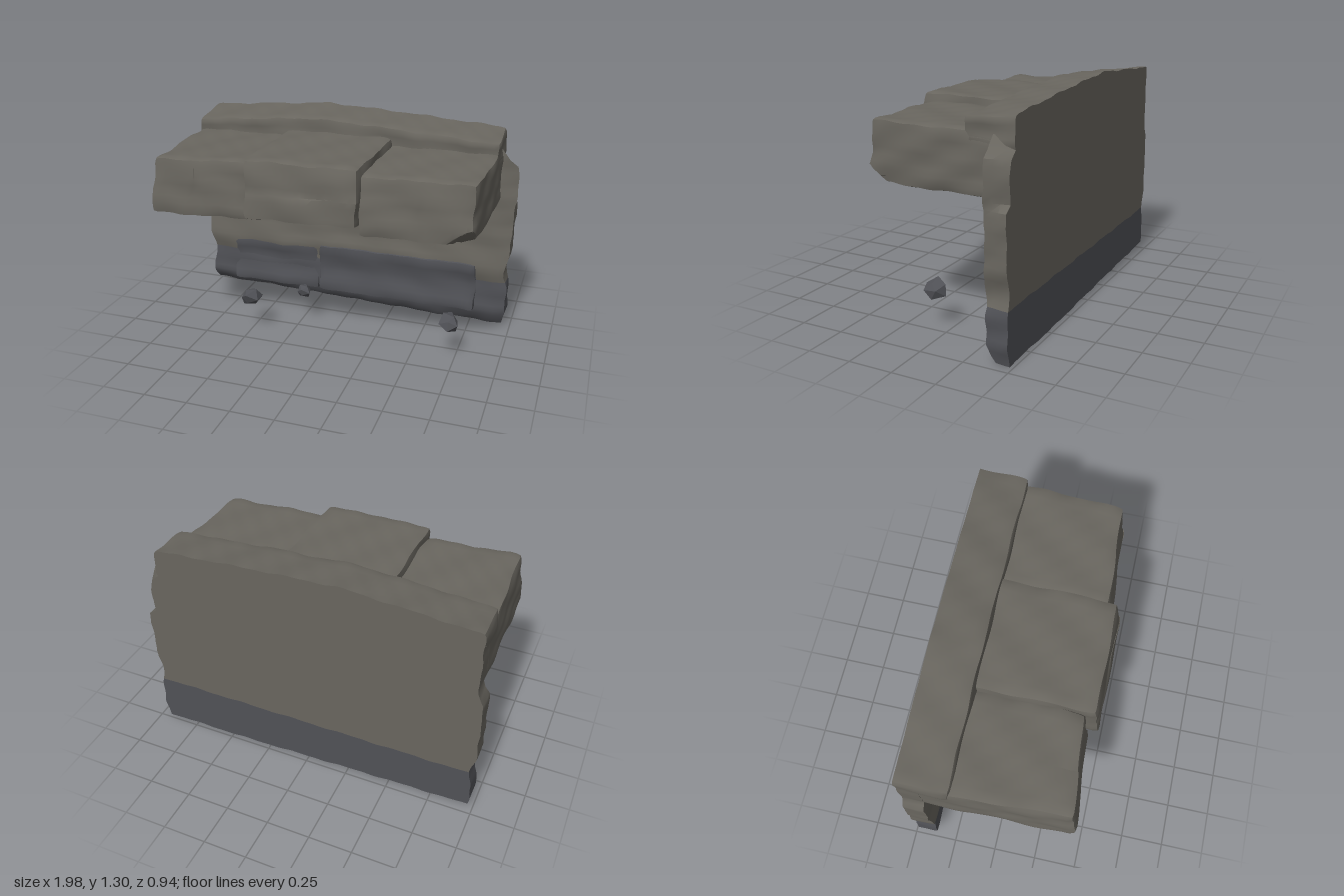
import * as THREE from 'three';
import { toCreasedNormals, mergeVertices } from 'three/addons/utils/BufferGeometryUtils.js';

const STONE = new THREE.MeshStandardMaterial({ color: 0x69665f });
const DARK = new THREE.MeshStandardMaterial({ color: 0x505156 });
const BACK = -0.48;
const lerp = THREE.MathUtils.lerp;
const clamp = THREE.MathUtils.clamp;

// Straight-line interpolation through [input, output] pairs
function curve(points) {
  return (t) => {
    for (let i = 1; i < points.length; i++) {
      const [a, va] = points[i - 1], [b, vb] = points[i];
      if (t <= b) return lerp(va, vb, clamp((t - a) / (b - a), 0, 1));
    }
    return points[points.length - 1][1];
  };
}

// Gentle weathering with horizontal strata, varying smoothly over position
function weather(v, amount) {
  const { x, y, z } = v;
  const layer = Math.sin(y * 52 + 2 * Math.sin(x * 4 + z * 5));
  v.x += amount * (0.6 * Math.sin(y * 31 + z * 17) + 0.4 * layer);
  v.y += amount * (0.6 * Math.sin(x * 19 + z * 13) + 0.4 * Math.sin(x * 41 - z * 33));
  v.z += amount * (0.6 * Math.sin(x * 15 + y * 23) + 0.4 * layer);
}

// Worn stone block: subdivided box, softened edges, then a shaping rule
function stone(name, material, [x0, x1], [y0, y1], [z0, z1], shape, { round = 0.025, wear = 0.006, step = 0.035 } = {}) {
  const w = x1 - x0, h = y1 - y0, d = z1 - z0;
  const n = (s) => Math.max(2, Math.round(s / step));
  const geo = new THREE.BoxGeometry(w, h, d, n(w), n(h), n(d));
  geo.translate((x0 + x1) / 2, (y0 + y1) / 2, (z0 + z1) / 2);
  const pos = geo.attributes.position;
  const v = new THREE.Vector3(), core = new THREE.Vector3();
  for (let i = 0; i < pos.count; i++) {
    v.fromBufferAttribute(pos, i);
    const onBack = z0 === BACK && v.z < BACK + 1e-4;
    if (round > 0) {
      core.set(clamp(v.x, x0 + round, x1 - round), clamp(v.y, y0 + round, y1 - round),
        clamp(v.z, z0 === BACK ? z0 : z0 + round, z1 - round));
      v.sub(core);
      if (v.length() > round) v.setLength(round);
      v.add(core);
    }
    if (shape) shape(v);
    weather(v, wear);
    if (onBack) v.z = BACK;
    pos.setXYZ(i, v.x, v.y, v.z);
  }
  const mesh = new THREE.Mesh(toCreasedNormals(geo, 0.7), material);
  mesh.name = name;
  return mesh;
}

// Loose faceted rock
function rock(x, y, z, sx, sy, sz, seed) {
  let geo = new THREE.IcosahedronGeometry(1, 0);
  geo.deleteAttribute('normal');
  geo.deleteAttribute('uv');
  geo = mergeVertices(geo, 1e-3);
  const pos = geo.attributes.position;
  for (let i = 0; i < pos.count; i++) {
    const k = 0.95 + 0.2 * Math.sin(i * 2.7 + seed * 5.1);
    pos.setXYZ(i, pos.getX(i) * k * sx, pos.getY(i) * k * sy, pos.getZ(i) * k * sz);
  }
  geo = geo.toNonIndexed();
  geo.computeVertexNormals();
  const mesh = new THREE.Mesh(geo, DARK);
  mesh.name = 'looseRock' + seed;
  mesh.position.set(x, y, z);
  return mesh;
}

export function createModel() {
  const group = new THREE.Group();

  // Back wall, with ragged ends and a sloping foot
  const leftEnd = curve([[0, -0.975], [0.06, -0.985], [0.22, -0.97], [0.32, -0.96], [0.4, -0.99], [0.78, -0.99], [0.84, -0.955], [1.15, -0.955]]);
  const rightEnd = curve([[0, 0.945], [0.1, 0.965], [0.28, 0.965], [0.35, 0.94], [0.5, 0.97], [0.7, 0.975], [0.95, 0.99], [1.03, 0.985], [1.07, 0.93], [1.15, 0.88]]);
  const foot = curve([[-1, 0.055], [-0.4, 0.04], [0.4, 0.012], [1, 0.008]]);
  const face = curve([[0, -0.41], [0.04, -0.38], [0.1, -0.36], [0.3, -0.365], [0.4, -0.345], [0.5, -0.36], [1.15, -0.365]]);
  const wallShape = (v) => {
    const depth = (v.z - BACK) / 0.12;
    const y = v.y;
    let right = rightEnd(y);
    if (y > 0.8) right -= 0.05 * (1 - depth);
    v.x = lerp(leftEnd(y), right, (v.x + 1) / 2);
    v.z = lerp(BACK, face(y), depth);
    v.y += foot(v.x) * clamp(1 - y / 0.3, 0, 1);
  };
  const wallStyle = { round: 0, wear: 0.005 };
  group.add(stone('wallBase', DARK, [-1, 1], [0, 0.3], [BACK, -0.36], wallShape, wallStyle));
  group.add(stone('wallUpper', STONE, [-1, 1], [0.3, 1.14], [BACK, -0.36], wallShape, wallStyle));

  // Raised facing slabs at the foot of the wall
  const slabShape = (v) => {
    if (v.z > -0.36) v.z += 0.012 * Math.cos((v.y - 0.1) * 20) - 0.008;
  };
  group.add(stone('facingSlabLeft', DARK, [-0.83, -0.23], [0.09, 0.39], [-0.42, -0.345], slabShape, { wear: 0.004 }));
  group.add(stone('facingSlabRight', DARK, [-0.23, 0.78], [0.095, 0.41], [-0.42, -0.332], slabShape, { wear: 0.004 }));

  // Cap course with a low off-centre peak
  const ridge = curve([[-0.96, -0.06], [-0.2, 0], [0.3, -0.025], [0.9, -0.065]]);
  group.add(stone('capCourse', STONE, [-0.955, 0.885], [1.06, 1.3], [BACK, -0.205], (v) => {
    const t = clamp((v.y - 1.1) / 0.2, 0, 1);
    v.y += t * (ridge(v.x) - 0.03 * (v.z - BACK) / 0.28);
  }));

  // Three projecting blocks, each leaning out slightly at the bottom
  const lean = (v, y) => { if (v.z > 0) v.z += (y - v.y) * 0.1 * clamp(v.z / 0.35, 0, 1); };
  group.add(stone('projectingBlockLeft', STONE, [-0.955, -0.375], [0.825, 1.15], [-0.4, 0.4], (v) => {
    const out = clamp((v.z + 0.4) / 0.8, 0, 1);
    lean(v, 1);
    v.z += out * 0.045 * (-0.5 - v.x) / 0.5;
    if (v.x < -0.7) v.x += 0.04 * out * (v.y - 0.75) / 0.4;
    if (v.y > 1) v.y += 0.02 * (v.x + 0.6) * out;
  }));
  group.add(stone('projectingBlockMiddle', STONE, [-0.378, 0.262], [0.835, 1.187], [-0.4, 0.45], (v) => {
    lean(v, 1);
    if (v.y < 1) v.y += 0.03 * clamp(v.z / 0.45, 0, 1) + 0.03 * (v.x + 0.06);
    if (v.x > 0) v.x += 0.015 * (0.2 - v.z);
  }));
  group.add(stone('projectingBlockRight', STONE, [0.25, 0.885], [0.815, 1.145], [-0.4, 0.38], (v) => {
    lean(v, 1);
    v.z += 0.04 * (0.55 - v.x) * clamp((v.z + 0.4) / 0.8, 0, 1) * 1.4;
    if (v.x > 0.6) v.x -= 0.03 * clamp((v.z + 0.1) / 0.5, 0, 1);
    // Broken lower outside corner
    const a = (0.86 - v.x) / 0.15, c = (0.38 - v.z) / 0.11;
    v.y = Math.max(v.y, 0.815 + 0.11 * clamp(1 - a - c, 0, 1));
  }));

  // Rubble below the overhang
  group.add(rock(-0.5, 0.225, 0.14, 0.07, 0.058, 0.072, 1));
  group.add(rock(-0.23, 0.212, -0.06, 0.05, 0.042, 0.048, 2));
  group.add(rock(0.71, 0.225, 0.09, 0.064, 0.056, 0.072, 3));
  return group;
}
